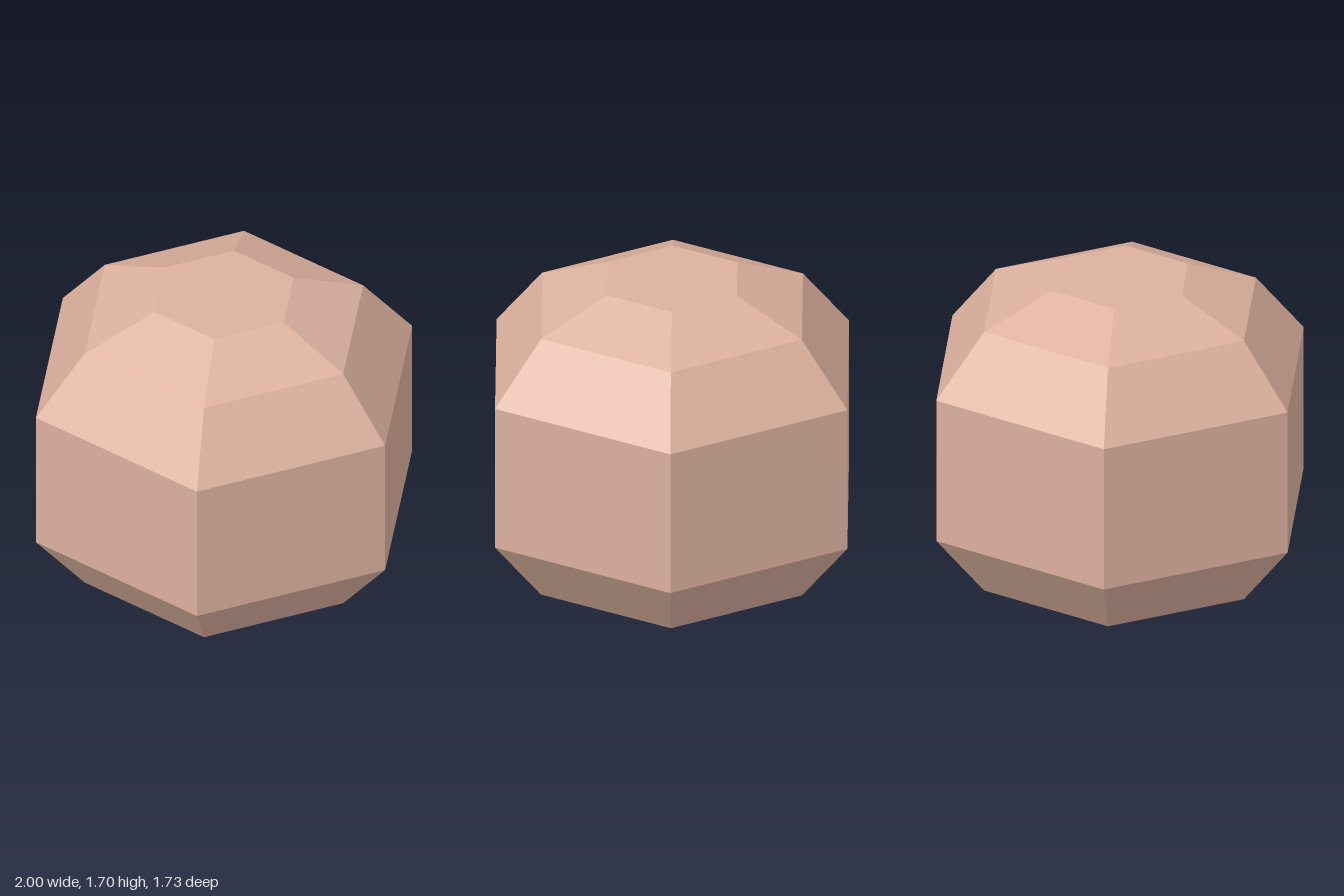
import * as THREE from 'three';

export function createModel() {
  const group = new THREE.Group();
  group.name = 'facetedStone';

  const clay = new THREE.MeshStandardMaterial({ color: 0xdcb09e, flatShading: true });
  clay.name = 'dusty pink clay';

  // Half outline from the bottom centre to the top centre: radius, height
  const profile = [
    [0, 0], [0.37, 0], [0.74, 0.15], [1, 0.47],
    [1, 1.23], [0.74, 1.55], [0.37, 1.7], [0, 1.7],
  ].map(([r, y]) => new THREE.Vector2(r, y));

  // Six-sided body with corners on the x axis
  const body = new THREE.Mesh(new THREE.LatheGeometry(profile, 6, Math.PI / 2), clay);
  body.name = 'body';
  group.add(body);

  return group;
}
